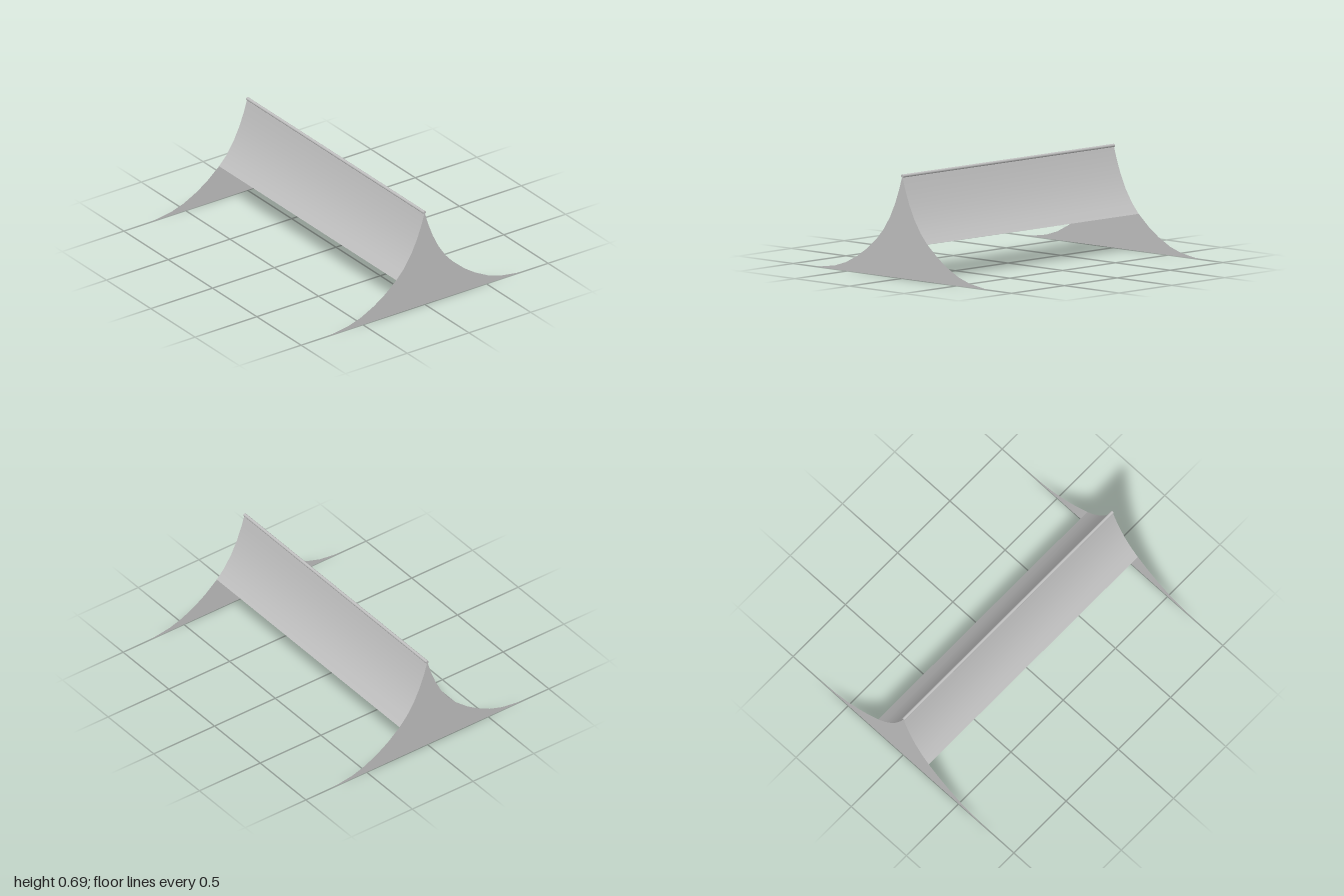
import * as THREE from 'three';

// Concave slope as [z, y], from the ridge down to the foot tip
const slope = [
  [0.002, 0.675], [0.026, 0.595], [0.064, 0.495], [0.111, 0.4], [0.169, 0.313], [0.229, 0.247],
  [0.325, 0.167], [0.41, 0.111], [0.515, 0.058], [0.615, 0.026], [0.76, 0.004], [0.8, 0],
];
const PANEL_ROWS = 6; // the side panels stop part way down the slope
const HALF = 1;

export function createModel() {
  const model = new THREE.Group();
  const grey = new THREE.MeshStandardMaterial({ color: 0xc0c0c0, side: THREE.DoubleSide });
  grey.name = 'light grey';

  const add = (name, geometry) => {
    const mesh = new THREE.Mesh(geometry, grey);
    mesh.name = name;
    model.add(mesh);
    return mesh;
  };

  // Curved side panels: a plane whose rows follow the slope
  const panel = new THREE.PlaneGeometry(2 * HALF, 1, 1, PANEL_ROWS - 1);
  const pos = panel.attributes.position;
  for (let i = 0; i < pos.count; i++) {
    const [z, y] = slope[Math.floor(i / 2)];
    pos.setXYZ(i, pos.getX(i), y, z);
  }
  panel.computeVertexNormals();
  add('frontPanel', panel);
  add('backPanel', panel).rotation.y = Math.PI;

  // Flat flared sheets closing both ends
  const outline = [
    ...slope.map(([z, y]) => new THREE.Vector2(z, y)),
    ...slope.map(([z, y]) => new THREE.Vector2(-z, y)).reverse(),
  ];
  const endSheet = new THREE.ShapeGeometry(new THREE.Shape(outline));
  for (const [name, side] of [['leftEnd', 1], ['rightEnd', -1]]) {
    const end = add(name, endSheet);
    end.rotation.y = side * Math.PI / 2;
    end.position.x = side * HALF;
  }

  // Round rod along the ridge
  const rod = add('ridgeRod', new THREE.CylinderGeometry(0.011, 0.011, 2 * HALF, 12));
  rod.rotation.z = Math.PI / 2;
  rod.position.y = 0.68;

  return model;
}
